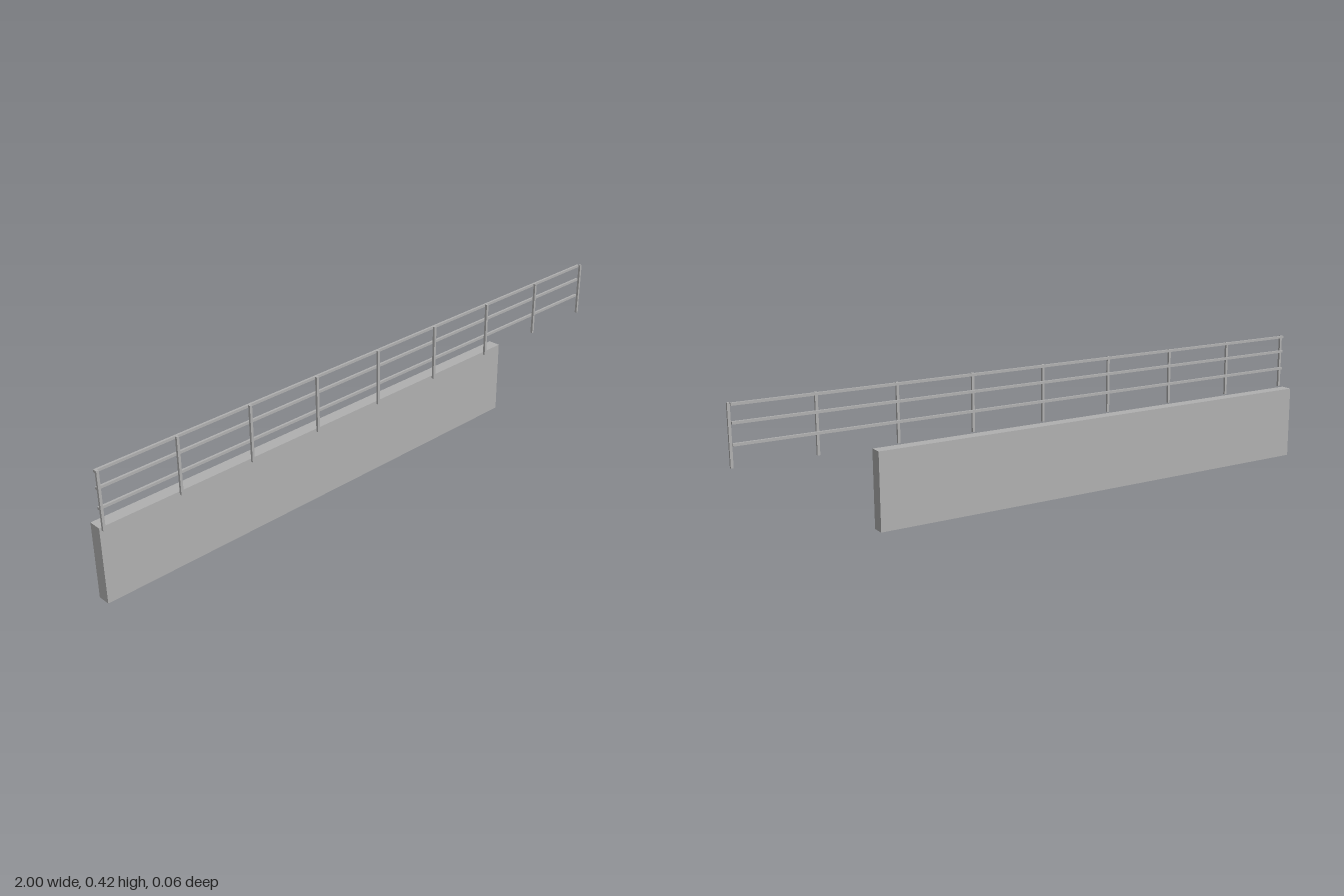
import * as THREE from 'three';

export function createModel() {
  const model = new THREE.Group();
  const concrete = new THREE.MeshStandardMaterial({ color: 0xb0b0b0 });
  concrete.name = 'plain grey';

  // Box given by its min and max corners
  function box(name, [x0, y0, z0], [x1, y1, z1], parent) {
    const mesh = new THREE.Mesh(new THREE.BoxGeometry(x1 - x0, y1 - y0, z1 - z0), concrete);
    mesh.position.set((x0 + x1) / 2, (y0 + y1) / 2, (z0 + z1) / 2);
    mesh.name = name;
    parent.add(mesh);
  }

  // Solid parapet wall, shorter than the railing
  box('wall', [-1, 0, -0.03], [0.59, 0.24, 0.01], model);

  const railing = new THREE.Group();
  railing.name = 'railing';
  model.add(railing);

  // Nine evenly spaced posts in front of the rails
  const t = 0.008, postBack = 0.0225, count = 9;
  for (let i = 0; i < count; i++) {
    const x = -1 + (i * (2 - t)) / (count - 1);
    box('post', [x, 0.24, postBack], [x + t, 0.42, 0.03], railing);
  }

  // Three horizontal rails fixed behind the posts
  for (const y of [0.301, 0.361, 0.412]) {
    box('rail', [-1, y, 0.0155], [0.992, y + t, postBack], railing);
  }

  return model;
}
